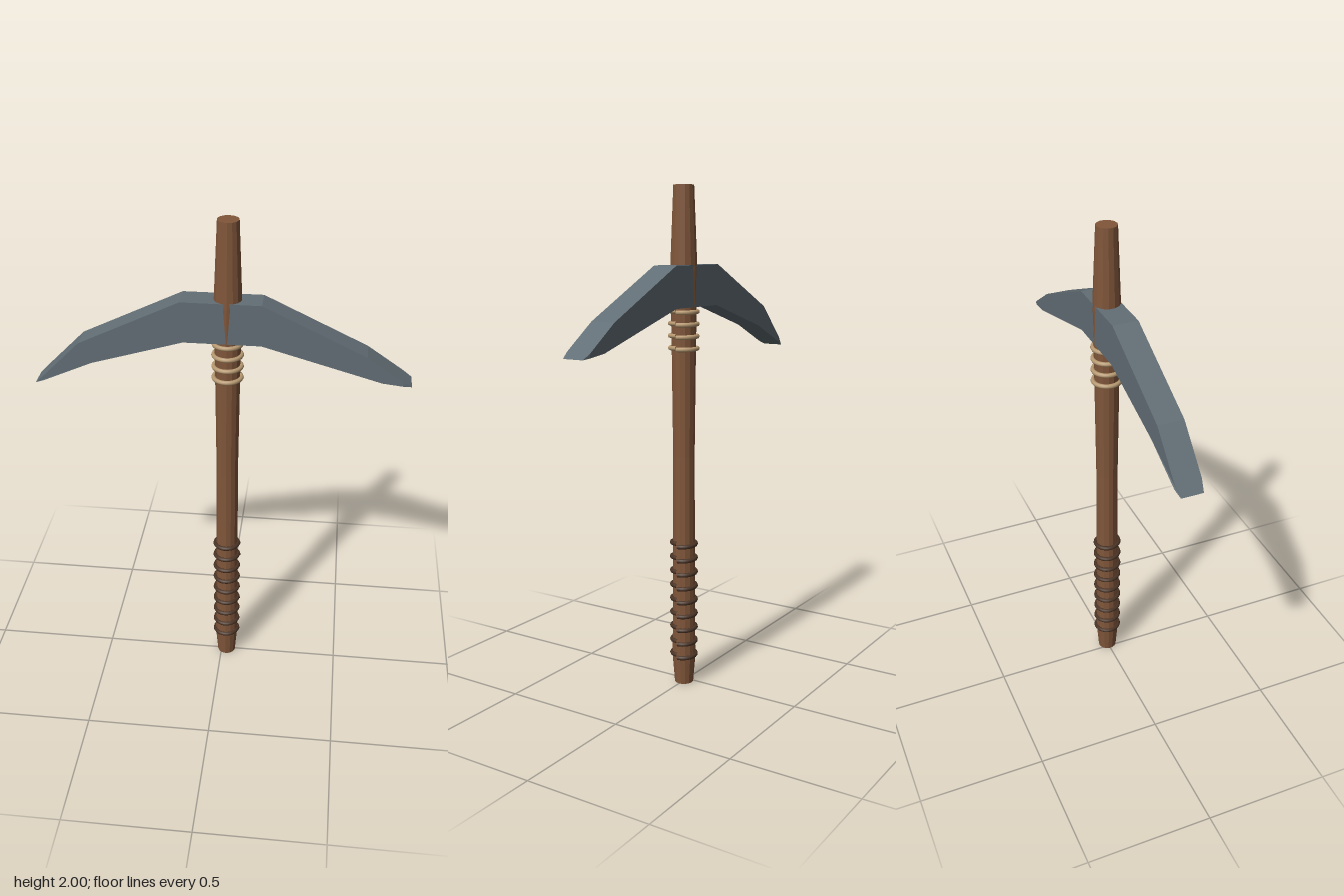
import * as THREE from 'three';

const AXIS_X = 0.022; // the shaft sits slightly off the head's middle

const paint = (color, flatShading = false) => new THREE.MeshStandardMaterial({ color, flatShading });

function part(name, geometry, material) {
  const mesh = new THREE.Mesh(geometry, material);
  mesh.name = name;
  return mesh;
}

// One turn of cord that starts on the +x side and sinks a little as it goes round
function cordTurn(y, radius, thickness, drop) {
  const points = [];
  for (let i = 0; i <= 24; i++) {
    const a = (i / 24) * Math.PI * 2;
    points.push(new THREE.Vector3(Math.cos(a) * radius, y + drop * (0.5 - i / 24), Math.sin(a) * radius));
  }
  return new THREE.TubeGeometry(new THREE.CatmullRomCurve3(points), 40, thickness, 8);
}

// Evenly spaced turns of cord around the shaft
function wrap(name, count, bottom, step, radius, thickness, drop, material) {
  const group = new THREE.Group();
  group.name = name;
  for (let i = 0; i < count; i++) {
    group.add(part(name + 'Turn', cordTurn(bottom + i * step, radius, thickness, drop), material));
  }
  group.position.x = AXIS_X;
  return group;
}

export function createModel() {
  const model = new THREE.Group();
  model.name = 'pickaxe';

  // Shaft: tapered at both ends, thickest where it passes through the head
  const profile = [
    [0, 0], [0.038, 0], [0.047, 0.11], [0.043, 0.95], [0.048, 1.4],
    [0.053, 1.68], [0.04, 2], [0, 2],
  ].map(([r, y]) => new THREE.Vector2(r, y));
  const shaft = part('shaft', new THREE.LatheGeometry(profile, 14), paint(0x80563a, true));
  shaft.position.x = AXIS_X;
  model.add(shaft);

  // Head: faceted crescent with a lower left tip, narrowed at both points
  const outline = [
    [-0.715, 1.335], [-0.68, 1.35], [-0.49, 1.435], [-0.14, 1.54], [0.15, 1.54],
    [0.6, 1.413], [0.68, 1.404], [0.71, 1.4], [0.68, 1.42], [0.54, 1.515],
    [0.15, 1.7], [-0.15, 1.7], [-0.535, 1.515], [-0.68, 1.37],
  ].map(([x, y]) => new THREE.Vector2(x, y));
  const headGeometry = new THREE.ExtrudeGeometry(new THREE.Shape(outline), { depth: 0.1, bevelEnabled: false });
  headGeometry.translate(0, 0, -0.05);
  const pos = headGeometry.attributes.position;
  for (let i = 0; i < pos.count; i++) {
    if (Math.abs(pos.getX(i)) > 0.7) pos.setZ(i, pos.getZ(i) * 0.84);
  }
  headGeometry.computeVertexNormals();
  model.add(part('head', headGeometry, paint(0x626e75, true)));

  // Pale lashing below the head and dark grip wrap near the foot
  model.add(wrap('headLashing', 4, 1.38, 0.0475, 0.053, 0.009, 0.005, paint(0xb89a72)));
  model.add(wrap('gripWrap', 9, 0.122, 0.0588, 0.048, 0.009, 0.012, paint(0x4a3426)));

  return model;
}
